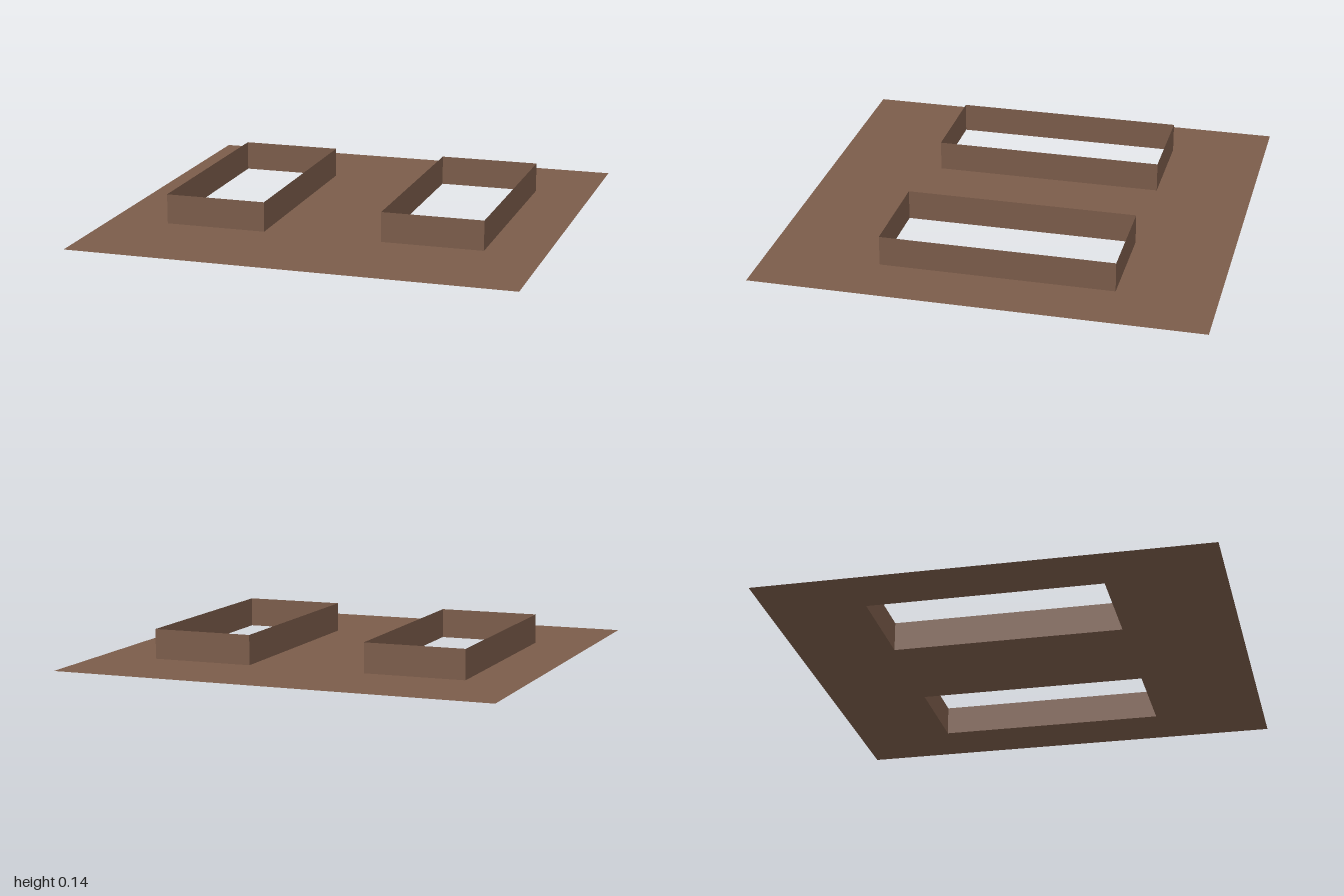
import * as THREE from 'three';

const HEIGHT = 0.135;
const OPENING = { x: 0.5, width: 0.46, back: -0.56, front: 0.485 };

export function createModel() {
  const brown = new THREE.MeshStandardMaterial({ color: 0x7b5c4a, side: THREE.DoubleSide });
  brown.name = 'brown';
  const model = new THREE.Group();
  model.name = 'floorWithOpenings';

  const { x, width, back, front } = OPENING;
  const depth = front - back;
  const midZ = (front + back) / 2;

  // Flat square floor, with shape y pointing to -z
  const outline = new THREE.Shape([[-1, -1], [1, -1], [1, 1], [-1, 1]].map(p => new THREE.Vector2(...p)));

  for (const side of [-1, 1]) {
    const cx = side * x, x0 = cx - width / 2, x1 = cx + width / 2;
    outline.holes.push(new THREE.Path(
      [[x0, -front], [x0, -back], [x1, -back], [x1, -front]].map(p => new THREE.Vector2(...p))));

    // Thin upright rim around the opening
    const rim = new THREE.Group();
    rim.name = side > 0 ? 'leftRim' : 'rightRim';
    const addWall = (name, length, px, pz, turn) => {
      const wall = new THREE.Mesh(new THREE.PlaneGeometry(length, HEIGHT), brown);
      wall.name = name;
      wall.position.set(px, HEIGHT / 2, pz);
      wall.rotation.y = turn;
      rim.add(wall);
    };
    addWall('frontWall', width, cx, front, 0);
    addWall('backWall', width, cx, back, Math.PI);
    addWall('leftWall', depth, x1, midZ, Math.PI / 2);
    addWall('rightWall', depth, x0, midZ, -Math.PI / 2);
    model.add(rim);
  }

  const floor = new THREE.Mesh(new THREE.ShapeGeometry(outline).rotateX(-Math.PI / 2), brown);
  floor.name = 'floor';
  model.add(floor);
  return model;
}
